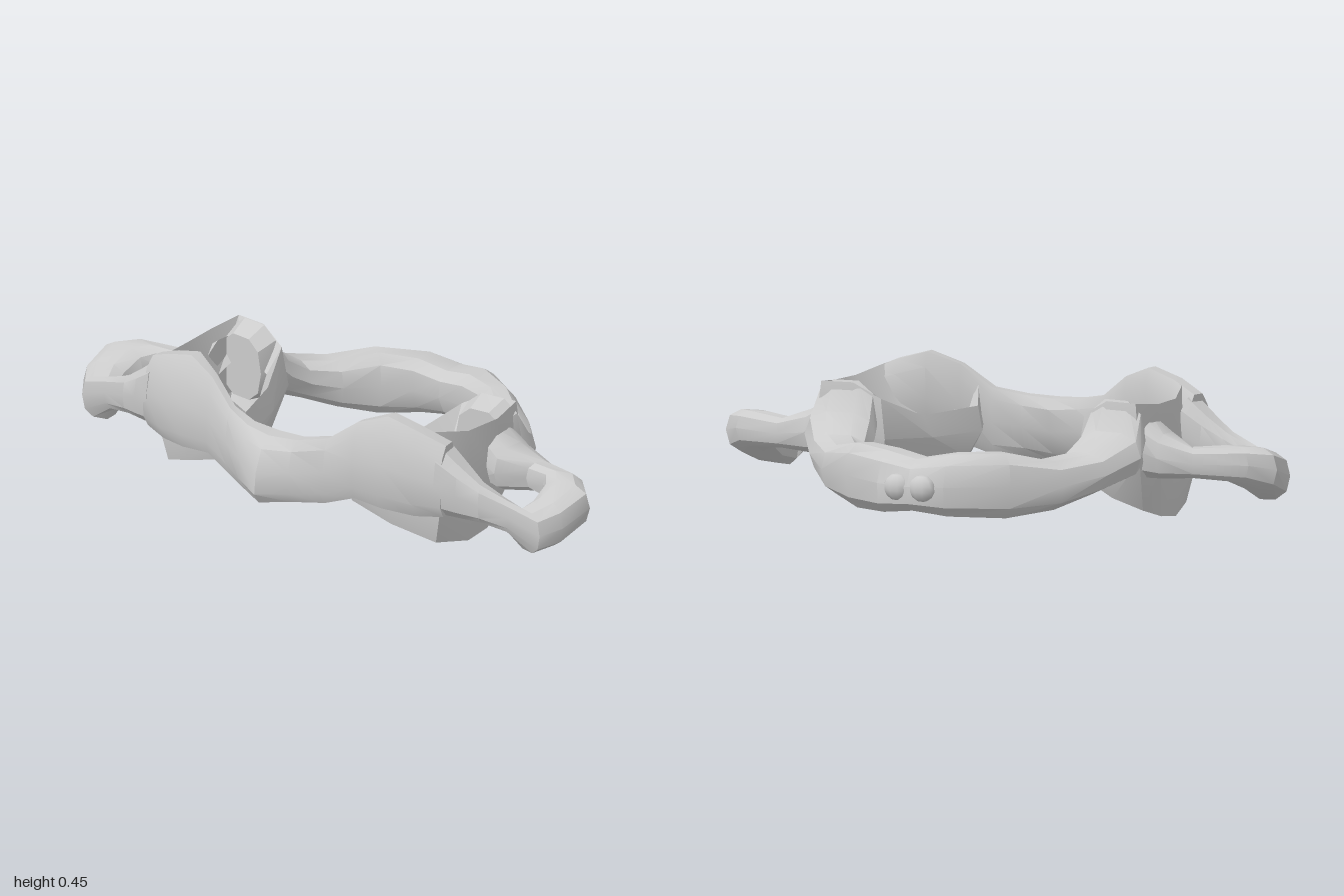
import * as THREE from 'three';
import { toCreasedNormals } from 'three/addons/utils/BufferGeometryUtils.js';

const bone = new THREE.MeshStandardMaterial({ color: 0xcccccc, side: THREE.DoubleSide });

// Skins rings of [x, y, z] points; the winding is turned outward by signed volume.
function loft(name, rings, capEnd) {
  const n = rings[0].length;
  const points = rings.flat().map((p) => new THREE.Vector3(...p));
  const index = [];
  for (let r = 0; r < rings.length - 1; r++) {
    for (let i = 0; i < n; i++) {
      const a = r * n + i, b = r * n + (i + 1) % n;
      index.push(a, b, b + n, a, b + n, a + n);
    }
  }
  const cap = (start, flip) => {
    const centre = new THREE.Vector3();
    for (let i = 0; i < n; i++) centre.addScaledVector(points[start + i], 1 / n);
    const c = points.push(centre) - 1;
    for (let i = 0; i < n; i++) {
      const a = start + i, b = start + (i + 1) % n;
      index.push(...(flip ? [c, b, a] : [c, a, b]));
    }
  };
  cap(0, true);
  if (capEnd) cap((rings.length - 1) * n, false);

  const middle = new THREE.Box3().setFromPoints(points).getCenter(new THREE.Vector3());
  let volume = 0;
  for (let i = 0; i < index.length; i += 3) {
    const [a, b, c] = [0, 1, 2].map((k) => points[index[i + k]].clone().sub(middle));
    volume += a.dot(b.cross(c));
  }
  if (volume < 0) index.reverse();

  const geometry = new THREE.BufferGeometry().setFromPoints(points);
  geometry.setIndex(index);
  const mesh = new THREE.Mesh(toCreasedNormals(geometry, 0.55), bone);
  mesh.name = name;
  return mesh;
}

// Rounded section: [inner x, inner z, outer x, outer z, bottom, top, lean inward at the top].
function section([ix, iz, ox, oz, bottom, top, lean = 0]) {
  const ring = [];
  const soft = (v) => Math.sign(v) * Math.abs(v) ** 0.8;
  for (let i = 0; i < 10; i++) {
    const a = (i / 10) * Math.PI * 2;
    const v = soft(Math.sin(a));
    const u = 0.5 + 0.5 * soft(Math.cos(a)) - lean * v;
    ring.push([ix + (ox - ix) * u, (bottom + top) / 2 + (v * (top - bottom)) / 2, iz + (oz - iz) * u]);
  }
  return ring;
}

// A half arch is given from its outer end to the middle, then mirrored.
function arch(name, half) {
  const other = half.slice(0, -1).reverse().map(([ix, iz, ox, oz, ...rest]) => [-ix, iz, -ox, oz, ...rest]);
  return loft(name, [...half, ...other].map(section), true);
}

const mirror = (rings, side) => rings.map((ring) => ring.map(([x, y, z]) => [x * side, y, z]));

export function createModel() {
  const group = new THREE.Group();

  group.add(arch('posteriorArch', [
    [0.4, 0.04, 0.58, 0.02, 0.16, 0.38],
    [0.38, -0.03, 0.6, -0.05, 0.15, 0.41],
    [0.365, -0.08, 0.61, -0.1, 0.15, 0.31],
    [0.345, -0.16, 0.54, -0.2, 0.115, 0.25],
    [0.29, -0.25, 0.44, -0.31, 0.07, 0.235],
    [0.2, -0.33, 0.3, -0.41, 0.045, 0.265],
    [0.1, -0.365, 0.12, -0.535, 0.055, 0.26, 0.08],
    [0, -0.375, 0, -0.56, 0.07, 0.24, 0.08],
  ]));

  group.add(arch('anteriorArch', [
    [0.59, 0.28, 0.61, 0.385, 0.14, 0.39, 0.1],
    [0.5, 0.31, 0.52, 0.42, 0.13, 0.43, 0.1],
    [0.4, 0.34, 0.41, 0.445, 0.14, 0.46, 0.2],
    [0.3, 0.38, 0.3, 0.45, 0.15, 0.42, 0.15],
    [0.2, 0.41, 0.2, 0.475, 0.115, 0.345, 0.1],
    [0.1, 0.43, 0.1, 0.53, 0.11, 0.325, 0.15],
    [0, 0.43, 0, 0.57, 0.095, 0.32, 0.2],
  ]));

  // Lateral mass: lower facet, outer wall, raised rim and hollow upper bowl
  const lowerFacet = [
    [0.38, 0.12, 0.0], [0.46, 0.08, -0.01], [0.55, 0.04, 0.03], [0.58, 0.015, 0.1], [0.58, 0.003, 0.2],
    [0.55, 0.03, 0.33], [0.42, 0.085, 0.4], [0.27, 0.13, 0.41], [0.23, 0.13, 0.3], [0.3, 0.12, 0.12],
  ];
  const wall = [
    [0.35, 0.22, -0.04], [0.46, 0.23, -0.07], [0.59, 0.22, -0.07], [0.6, 0.18, 0.06], [0.6, 0.18, 0.2],
    [0.59, 0.2, 0.35], [0.41, 0.23, 0.43], [0.24, 0.23, 0.44], [0.2, 0.21, 0.35], [0.27, 0.21, 0.14],
  ];
  const rim = [
    [0.37, 0.35, -0.03], [0.46, 0.4, -0.05], [0.57, 0.4, -0.06], [0.59, 0.385, 0.06], [0.58, 0.385, 0.2],
    [0.54, 0.41, 0.32], [0.4, 0.45, 0.37], [0.25, 0.37, 0.42], [0.215, 0.29, 0.35], [0.3, 0.28, 0.13],
  ];
  const bowl = [
    [0.385, 0.27, 0.03], [0.46, 0.3, 0.01], [0.53, 0.28, 0.01], [0.55, 0.24, 0.07], [0.5, 0.18, 0.21],
    [0.44, 0.17, 0.3], [0.37, 0.19, 0.36], [0.28, 0.2, 0.38], [0.265, 0.2, 0.33], [0.34, 0.2, 0.14],
  ];

  // Side wing: a loop of bone round the side opening
  const wing = [
    [0.57, 0.24, 0.59, 0.395, 0.14, 0.38],
    [0.64, 0.25, 0.66, 0.37, 0.14, 0.325],
    [0.71, 0.27, 0.73, 0.34, 0.14, 0.275],
    [0.78, 0.27, 0.83, 0.31, 0.125, 0.24],
    [0.815, 0.255, 0.94, 0.285, 0.065, 0.21],
    [0.83, 0.19, 0.985, 0.22, 0.08, 0.235],
    [0.82, 0.12, 1.0, 0.1, 0.12, 0.265],
    [0.79, 0.08, 0.93, 0.035, 0.15, 0.27],
    [0.71, 0.065, 0.76, -0.02, 0.16, 0.26],
    [0.63, 0.13, 0.64, -0.05, 0.15, 0.3],
    [0.56, 0.12, 0.55, -0.06, 0.15, 0.36],
  ].map(section);

  for (const [label, side] of [['left', 1], ['right', -1]]) {
    group.add(loft(`${label}LateralMass`, mirror([lowerFacet, wall, rim, bowl], side), false));
    group.add(loft(`${label}TransverseWing`, mirror(wing, side), true));

    // Small paired knob at the back of the arch
    const knob = new THREE.Mesh(new THREE.SphereGeometry(0.04, 10, 7), bone);
    knob.name = `${label}PosteriorKnob`;
    knob.scale.set(1.2, 1.1, 0.75);
    knob.position.set(0.045 * side, 0.15, -0.538);
    group.add(knob);
  }
  return group;
}
